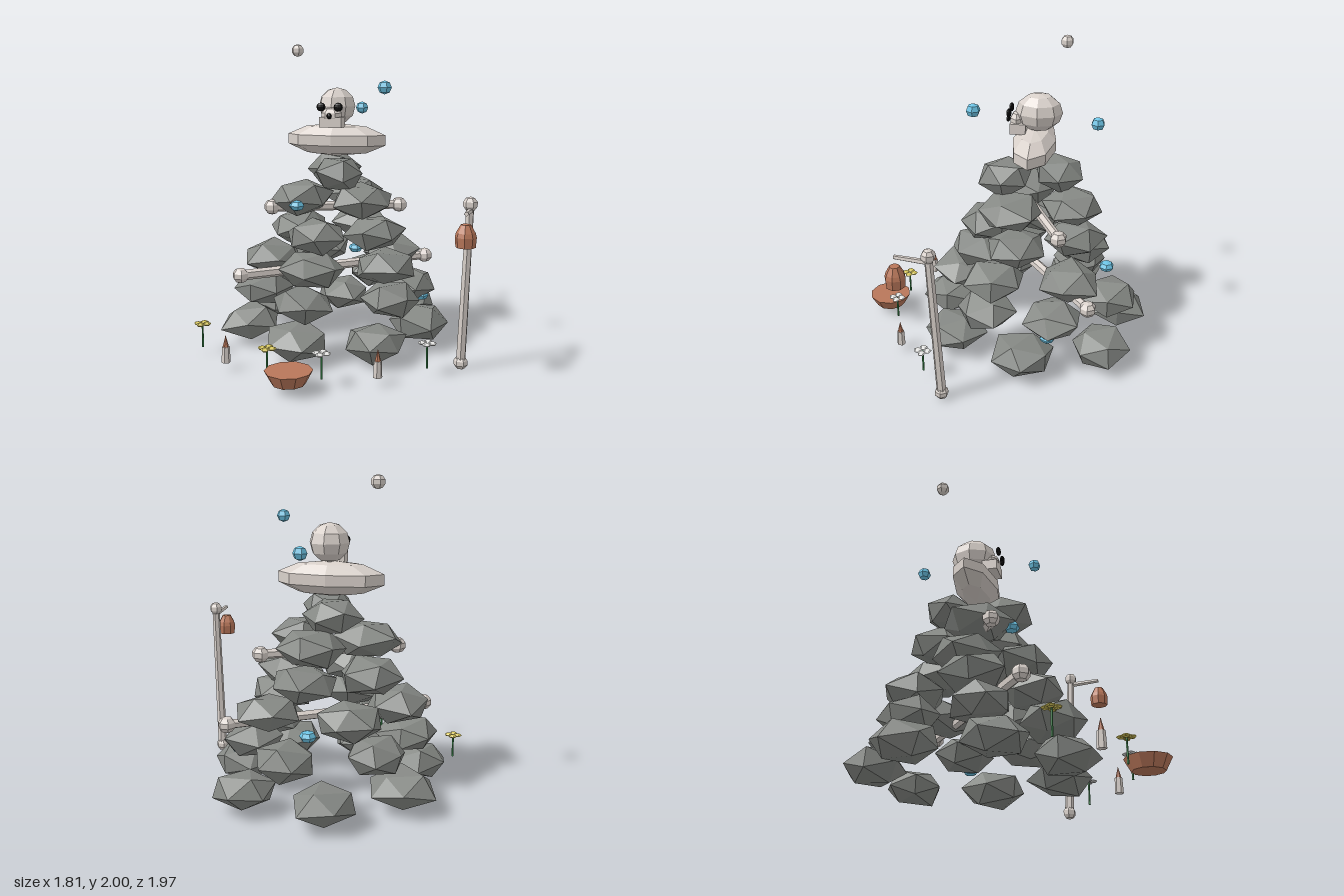
import * as THREE from 'three';

const mat = (name, color) => {
  const m = new THREE.MeshStandardMaterial({ color, flatShading: true });
  m.name = name;
  return m;
};

export function createModel() {
  const root = new THREE.Group();
  root.name = 'boneCairn';
  const stone = mat('stone', 0x858884);
  const bone = mat('bone', 0xd9d1cb);
  const clay = mat('clay', 0xb9775a);
  const crystal = mat('crystal', 0x6cc3e4);
  const dark = mat('socketBlack', 0x0c0c0c);
  const stemGreen = mat('stemGreen', 0x3d9450);
  const yellow = mat('yellowPetal', 0xdccb5e);
  const white = mat('whitePetal', 0xe6e6e4);

  const add = (name, geo, material, x, y, z, parent = root) => {
    const mesh = new THREE.Mesh(geo, material);
    mesh.name = name;
    mesh.position.set(x, y, z);
    parent.add(mesh);
    return mesh;
  };
  const ball = (rx, ry, rz, w, h) => new THREE.SphereGeometry(1, w, h).scale(rx, ry, rz);
  const rod = (name, a, b, r0, r1, sides, parent) => {
    const from = new THREE.Vector3(...a), to = new THREE.Vector3(...b);
    const dir = to.clone().sub(from), mid = from.clone().add(to).multiplyScalar(0.5);
    const m = add(name, new THREE.CylinderGeometry(r1, r0, dir.length(), sides), bone, mid.x, mid.y, mid.z, parent);
    m.quaternion.setFromUnitVectors(new THREE.Vector3(0, 1, 0), dir.normalize());
    return m;
  };

  // Seeded random numbers for the stone shapes
  let seed = 17;
  const rand = () => {
    seed = (seed * 16807) % 2147483647;
    return seed / 2147483647;
  };

  // Flattened stone: shared corners are pushed in or out together
  const stoneGeo = (r, h) => {
    const geo = new THREE.IcosahedronGeometry(1, 0);
    geo.rotateX(rand() * 0.6).rotateY(rand() * 6.28);
    const p = geo.attributes.position, moved = new Map(), v = new THREE.Vector3();
    for (let i = 0; i < p.count; i++) {
      v.fromBufferAttribute(p, i);
      const key = v.toArray().map((n) => Math.round(n * 100)).join();
      if (!moved.has(key)) moved.set(key, 0.9 + rand() * 0.24);
      v.multiplyScalar(moved.get(key));
      p.setXYZ(i, v.x * r, v.y * h, v.z * r);
    }
    geo.computeVertexNormals();
    return geo;
  };

  // Stacked rings of stones: height, radius, then x and z of each stone
  const layers = [
    [0.14, 0.205, [[-0.22, 0.38], [0.27, 0.28], [0.46, -0.22], [0.28, -0.7], [-0.22, -0.79], [-0.63, -0.45], [-0.64, 0.07]]],
    [0.355, 0.2, [[-0.2, 0.3], [0.3, 0.04], [0.34, -0.38], [0.02, -0.74], [-0.47, -0.5], [-0.6, -0.03]]],
    [0.56, 0.205, [[-0.18, 0.19], [0.26, 0.0], [0.2, -0.48], [-0.31, -0.52], [-0.53, -0.08]]],
    [0.76, 0.205, [[-0.16, 0.11], [0.17, -0.12], [-0.02, -0.48], [-0.37, -0.18]]],
    [0.975, 0.21, [[-0.34, -0.125], [0.09, -0.07], [-0.05, -0.46]]],
    [1.155, 0.175, [[-0.06, -0.02], [-0.17, -0.35]]],
  ];
  const cairn = new THREE.Group();
  cairn.name = 'stoneCairn';
  root.add(cairn);
  for (const [y, r, spots] of layers)
    for (const [x, z] of spots) add('stone', stoneGeo(r, 0.119), stone, x, y, z, cairn);

  // Skull on its wide rounded slab
  add('capSlab', ball(0.355, 0.11, 0.147, 8, 5), bone, -0.117, 1.365, -0.195);
  const skull = new THREE.Group();
  skull.name = 'skull';
  skull.position.set(-0.118, 0, 0);
  root.add(skull);
  add('cranium', ball(0.126, 0.122, 0.15, 8, 6), bone, 0, 1.588, -0.222, skull);
  add('jaw', new THREE.BoxGeometry(0.15, 0.068, 0.1), bone, 0, 1.487, -0.095, skull);
  add('snout', ball(0.072, 0.055, 0.05, 6, 5), bone, 0, 1.53, -0.085, skull);
  for (const s of [-1, 1]) add('eyeSocket', ball(0.031, 0.029, 0.016, 8, 6), dark, s * 0.058, 1.588, -0.038, skull);
  add('noseSocket', ball(0.017, 0.02, 0.014, 6, 5), dark, 0, 1.53, -0.026, skull);

  // Long bones pushed through the cairn
  const longBones = [
    [[-0.66, 0.49, 0.21], [0.425, 0.508, -0.615]],
    [[-0.51, 0.92, 0.0], [0.275, 0.905, -0.405]],
  ];
  for (const [a, b] of longBones) {
    rod('longBoneShaft', a, b, 0.035, 0.03, 6);
    for (const e of [a, b]) add('longBoneKnob', ball(0.056, 0.052, 0.056, 6, 5), bone, ...e);
  }

  // Leaning bone post with an arm and hanging lantern
  const post = new THREE.Group();
  post.name = 'lanternPost';
  root.add(post);
  const foot = [0.798, 0.045, 0.243], head = [0.838, 1.043, 0.278];
  rod('postShaft', foot, head, 0.031, 0.025, 6, post);
  for (const e of [foot, head]) add('postKnob', ball(0.045, 0.045, 0.045, 6, 5), bone, ...e, post);
  rod('postArm', [0.838, 1.0, 0.27], [0.838, 1.018, 0.48], 0.018, 0.014, 5, post);
  const lanternProfile = [[0, 0.825], [0.058, 0.825], [0.063, 0.885], [0.056, 0.91], [0.03, 0.957], [0, 0.957]];
  add('lantern', new THREE.LatheGeometry(lanternProfile.map((q) => new THREE.Vector2(...q)), 8), clay, 0.837, 0, 0.48, post);

  // Offering bowl
  add('offeringBowl', new THREE.CylinderGeometry(0.142, 0.1, 0.078, 10), clay, -0.117, 0.087, 0.838);

  // Candles
  for (const x of [-0.595, 0.36]) {
    add('candle', new THREE.CylinderGeometry(0.024, 0.028, 0.1, 6), bone, x, 0.1, 0.625);
    add('candleFlame', new THREE.ConeGeometry(0.02, 0.08, 6), clay, x, 0.185, 0.625);
  }

  // Flowers with four flat petals
  const flowers = [[-0.85, 0.405, yellow], [-0.285, 0.735, yellow], [0.05, 0.735, white], [0.615, 0.405, white]];
  for (const [x, z, petalMat] of flowers) {
    const flower = new THREE.Group();
    flower.name = 'flower';
    flower.position.set(x, 0, z);
    root.add(flower);
    add('stem', new THREE.CylinderGeometry(0.006, 0.007, 0.155, 5), stemGreen, 0, 0.127, 0, flower);
    for (let i = 0; i < 4; i++) {
      const a = (i * Math.PI) / 2;
      add('petal', ball(0.028, 0.011, 0.028, 5, 4), petalMat, 0.031 * Math.cos(a), 0.206, 0.031 * Math.sin(a), flower);
    }
  }

  // Crystals: set in the stones, then floating
  for (const p of [[-0.31, 0.95, 0.08], [0.445, 0.28, -0.37], [-0.11, 0.51, -0.705]])
    add('setCrystal', ball(0.052, 0.036, 0.052, 6, 4), crystal, ...p);
  for (const p of [[0.28, 1.72, 0.12], [-0.037, 1.56, -0.597]])
    add('floatingCrystal', ball(0.045, 0.043, 0.045, 6, 4), crystal, ...p);
  add('floatingBoneOrb', ball(0.044, 0.043, 0.044, 6, 5), bone, -0.437, 1.957, -0.357);

  return root;
}
